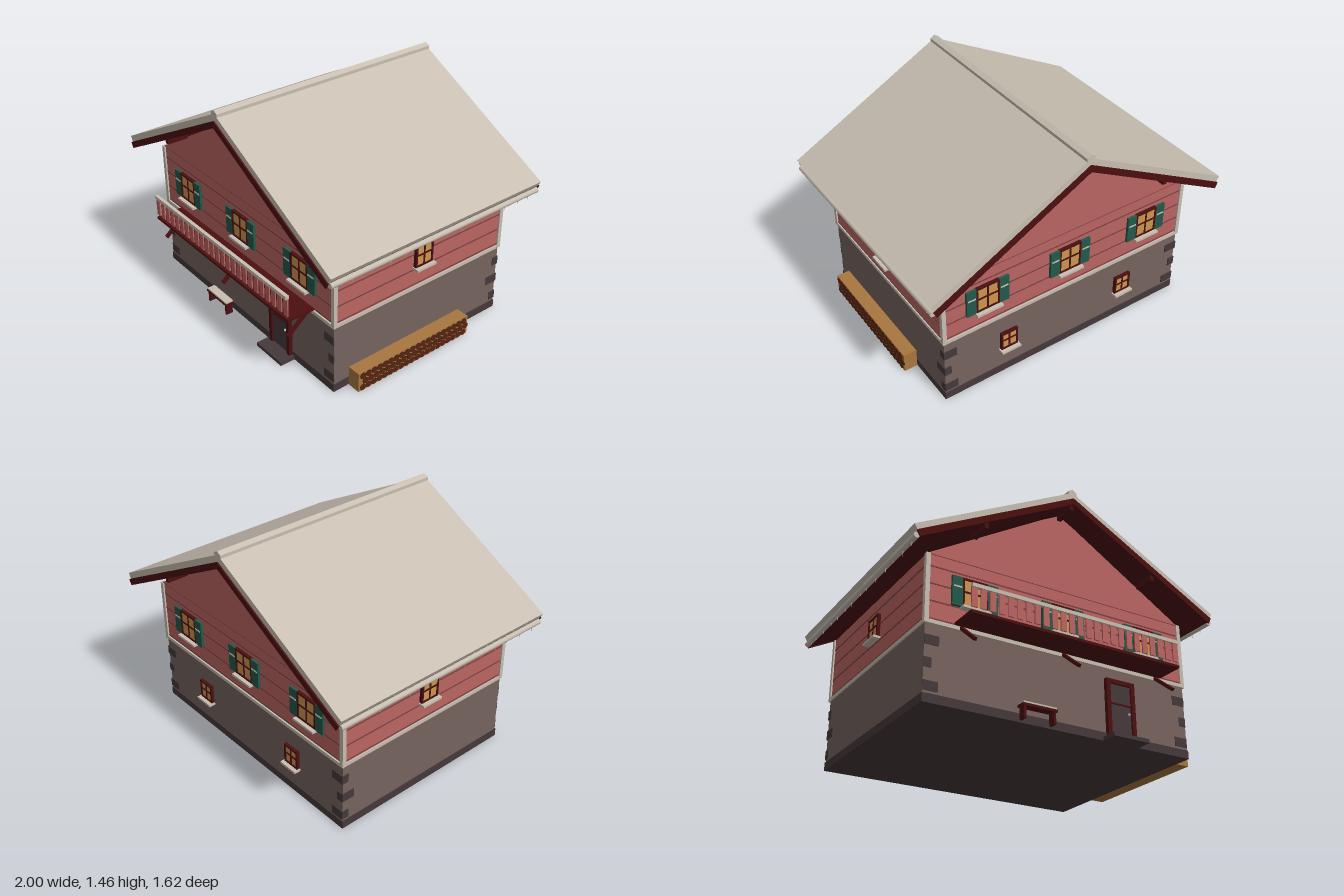
import * as THREE from 'three';

const mat = (name, color) => {
  const m = new THREE.MeshStandardMaterial({ color });
  m.name = name;
  return m;
};

export function createModel() {
  const snow = mat('snow and trim', 0xc8beb1);
  const red = mat('red siding', 0xba6562);
  const groove = mat('siding groove', 0x7c4142);
  const stone = mat('plaster', 0x76635d);
  const darkStone = mat('dark stone', 0x45393a);
  const darkWood = mat('dark red timber', 0x4c0f10);
  const green = mat('shutter green', 0x22594a);
  const glass = mat('warm glass', 0xcc954e);
  const tan = mat('cut wood', 0xa8763f);
  const bark = mat('log brown', 0x552411);

  const model = new THREE.Group();
  model.name = 'chalet';
  const house = new THREE.Group();
  house.name = 'house';
  house.position.z = -0.0175;
  model.add(house);

  const add = (parent, name, geo, material, x = 0, y = 0, z = 0) => {
    const m = new THREE.Mesh(geo, material);
    m.name = name;
    m.position.set(x, y, z);
    parent.add(m);
    return m;
  };
  const box = (parent, name, material, w, h, d, x, y, z) =>
    add(parent, name, new THREE.BoxGeometry(w, h, d), material, x, y, z);
  // Extrude an x-y outline along z, centred on z = 0
  const slab = (parent, name, material, pts, depth, z = 0) => {
    const s = new THREE.Shape(pts.map(p => new THREE.Vector2(p[0], p[1])));
    const g = new THREE.ExtrudeGeometry(s, { depth, bevelEnabled: false });
    g.translate(0, 0, -depth / 2);
    return add(parent, name, g, material, 0, 0, z);
  };

  const W = 0.85, D = 0.635;

  // Ground floor, plinth and upper storey with gables
  box(house, 'groundFloor', stone, 2 * W, 0.42, 2 * D, 0, 0.235, 0);
  box(house, 'plinth', darkStone, 2 * W + 0.01, 0.05, 2 * D + 0.01, 0, 0.025, 0);
  slab(house, 'upperStorey', red,
    [[-W, 0.44], [W, 0.44], [W, 0.85], [0, 1.365], [-W, 0.85]], 2 * D);
  for (const y of [0.47, 0.573, 0.675, 0.778])
    box(house, 'sidingGroove', groove, 2 * W + 0.004, 0.008, 2 * D + 0.004, 0, y, 0);
  for (const s of [-1, 1])
    box(house, 'gableGroove', groove, 2 * W, 0.004, 0.003, 0, 0.85, s * D);

  // Pale belt and corner posts
  box(house, 'beltTrim', snow, 2 * W + 0.016, 0.022, 2 * D + 0.02, 0, 0.45, 0);
  for (const sx of [-1, 1]) for (const sz of [-1, 1])
    box(house, 'cornerPost', snow, 0.026, 0.41, 0.026, sx * (W - 0.004), 0.645, sz * (D - 0.003));

  // Alternating corner stones
  [0.347, 0.22, 0.093].forEach((y, i) => {
    const long = i % 2 === 0;
    for (const sx of [-1, 1]) {
      const w = long ? 0.085 : 0.045, d = long ? 0.045 : 0.085;
      box(house, 'backQuoin', darkStone, w, 0.055, d,
        sx * (W + 0.004 - w / 2), y, -(D + 0.006 - d / 2));
      box(house, 'frontQuoin', darkStone, w, 0.055, 0.006, sx * (W - w / 2), y, D);
    }
  });

  // Roof: timber deck, snow cover, ridge cap
  const chevron = (top, end, low, inner) =>
    [[0, inner], [-low[0], low[1]], [-end[0], end[1]], [0, top], end, low];
  slab(house, 'roofDeck', darkWood, chevron(1.392, [0.98, 0.87], [0.964, 0.842], 1.357), 1.564);
  slab(house, 'snowCover', snow, chevron(1.436, [1, 0.905], [0.98, 0.87], 1.392), 1.564);
  for (const s of [-1, 1])
    slab(house, 'bargeBoard', darkWood,
      chevron(1.394, [0.985, 0.87], [0.968, 0.834], 1.352), 0.01, s * 0.786);
  const ridge = add(house, 'ridgeCap',
    new THREE.CylinderGeometry(0.032, 0.032, 1.564, 6).toNonIndexed(), snow, 0, 1.425, 0);
  ridge.geometry.computeVertexNormals();
  ridge.rotation.x = Math.PI / 2;

  // Purlins
  for (const [x, y] of [[-0.565, 1.038], [0, 1.34], [0.565, 1.038]])
    box(house, 'purlin', darkWood, 0.026, 0.034, 1.54, x, y, 0);

  // Gutters with icicles
  let seed = 7;
  const rand = () => (seed = (seed * 16807) % 2147483647) / 2147483647;
  for (const s of [-1, 1]) {
    const g = add(house, 'gutter', new THREE.CylinderGeometry(0.018, 0.018, 1.544, 10),
      snow, s * 0.98, 0.849, 0);
    g.rotation.x = Math.PI / 2;
    for (let i = 0; i < 14; i++) {
      const h = 0.015 + 0.022 * rand();
      const c = add(house, 'icicle', new THREE.ConeGeometry(0.004, h, 5), snow,
        s * 0.98, 0.833 - h / 2, -0.72 + i * 0.11 + 0.05 * (rand() - 0.5));
      c.rotation.x = Math.PI;
    }
  }

  // Window facing +z, centred on its own origin
  const makeWindow = (name, w, h, shutters) => {
    const g = new THREE.Group();
    g.name = name;
    const b = 0.012;
    box(g, 'pane', glass, w - b, h - b, 0.014, 0, 0, 0.007);
    for (const s of [-1, 1]) {
      box(g, 'frameSide', darkWood, b, h, 0.02, s * (w - b) / 2, 0, 0.01);
      box(g, 'frameRail', darkWood, w, b, 0.02, 0, s * (h - b) / 2, 0.01);
      if (shutters) {
        box(g, 'shutter', green, 0.065, h, 0.016, s * (w / 2 + 0.03), 0, 0.012);
        box(g, 'shutterBatten', snow, 0.05, 0.009, 0.006, s * (w / 2 + 0.03), 0.025, 0.02);
      }
    }
    box(g, 'mullion', darkWood, 0.01, h, 0.018, 0, 0, 0.009);
    box(g, 'glazingBar', darkWood, w, 0.01, 0.018, 0, 0.005, 0.009);
    box(g, 'sill', snow, w + 0.015, 0.014, 0.044, 0, -h / 2 - 0.005, 0.022);
    return g;
  };
  const place = (win, x, y, z, turn) => {
    win.position.set(x, y, z);
    win.rotation.y = turn;
    house.add(win);
  };
  for (const x of [-0.565, 0, 0.565]) {
    place(makeWindow('frontWindow', 0.155, 0.175, true), x, 0.663, D, 0);
    place(makeWindow('backWindow', 0.155, 0.175, true), x, 0.663, -D, Math.PI);
  }
  for (const s of [-1, 1]) {
    place(makeWindow('sideWindow', 0.13, 0.145, false), s * W, 0.663, 0, s * Math.PI / 2);
    place(makeWindow('cellarWindow', 0.115, 0.125, false), s * 0.42, 0.252, -D, Math.PI);
  }

  // Front door and step
  const door = new THREE.Group();
  door.name = 'door';
  door.position.set(0.374, 0, 0.617);
  model.add(door);
  box(door, 'doorLeaf', darkStone, 0.15, 0.33, 0.014, 0, 0.185, 0.007);
  for (const s of [-1, 1])
    box(door, 'doorPost', darkWood, 0.026, 0.353, 0.026, s * 0.084, 0.197, 0.013);
  box(door, 'doorLintel', darkWood, 0.194, 0.026, 0.026, 0, 0.361, 0.013);
  box(door, 'doorRail', darkWood, 0.15, 0.01, 0.018, 0, 0.23, 0.009);
  add(door, 'doorKnob', new THREE.SphereGeometry(0.008, 10, 8), snow, 0.054, 0.18, 0.02);
  box(door, 'doorStep', darkStone, 0.24, 0.022, 0.103, 0, 0.011, 0.0515);

  // Bench with snow on the seat
  const bench = new THREE.Group();
  bench.name = 'bench';
  bench.position.set(-0.203, 0, 0.672);
  model.add(bench);
  box(bench, 'benchSeat', darkWood, 0.215, 0.014, 0.056, 0, 0.076, 0);
  box(bench, 'benchSnow', snow, 0.205, 0.01, 0.052, 0, 0.088, 0);
  for (const s of [-1, 1])
    box(bench, 'benchLeg', darkWood, 0.014, 0.07, 0.046, s * 0.092, 0.035, 0);

  // Balcony: floor, raking brackets, balusters and handrail
  const balcony = new THREE.Group();
  balcony.name = 'balcony';
  model.add(balcony);
  box(balcony, 'balconyFloor', darkWood, 1.36, 0.016, 0.18, 0, 0.47, 0.712);
  for (const x of [-0.64, 0, 0.64]) {
    const b = box(balcony, 'bracket', darkWood, 0.02, 0.018, 0.19, x, 0.392, 0.7);
    b.rotation.x = Math.atan2(0.12, 0.145);
  }
  const count = 25;
  for (let i = 0; i < count; i++)
    box(balcony, 'baluster', red, 0.036, 0.115, 0.008, -0.66 + (1.32 * i) / (count - 1), 0.555, 0.796);
  box(balcony, 'handrail', snow, 1.352, 0.022, 0.022, 0, 0.621, 0.796);

  // Stacked firewood against the side wall
  const pile = new THREE.Group();
  pile.name = 'woodpile';
  model.add(pile);
  box(pile, 'stack', tan, 0.085, 0.125, 0.85, 0.8985, 0.0625, 0.09);
  for (let row = 0; row < 3; row++)
    for (let i = 0; i < 20; i++) {
      const log = add(pile, 'logEnd', new THREE.CylinderGeometry(0.021, 0.021, 0.008, 7), bark,
        0.942, 0.023 + row * 0.04, 0.485 - i * 0.0413 - (row % 2) * 0.018);
      log.rotation.z = Math.PI / 2;
    }
  return model;
}
